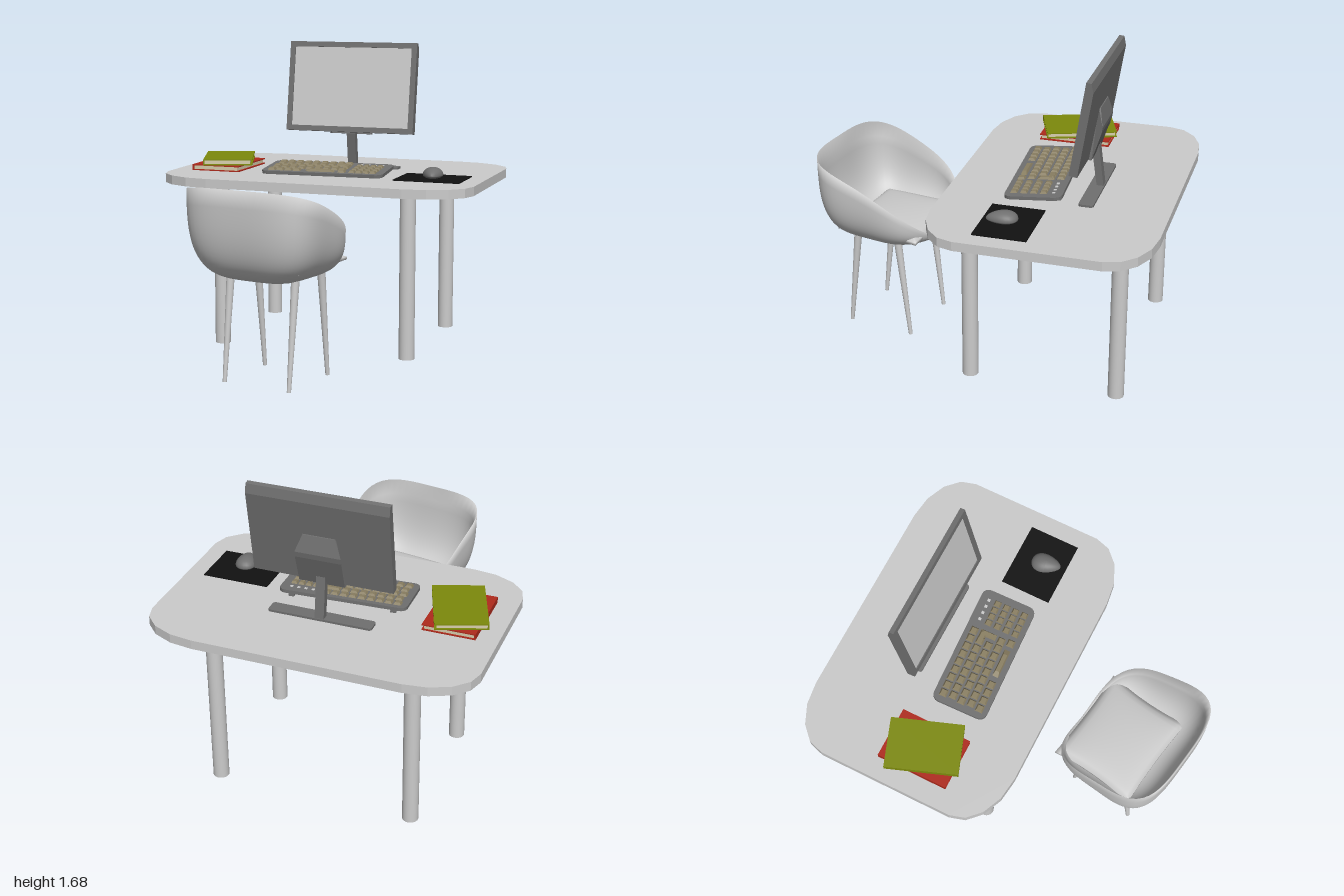
import * as THREE from 'three';
import { mergeVertices } from 'three/addons/utils/BufferGeometryUtils.js';
import { ParametricGeometry } from 'three/addons/geometries/ParametricGeometry.js';

const mat = (color = 0xcccccc, extra = {}) => new THREE.MeshStandardMaterial({ color, ...extra });
const grey = mat(), shellMat = mat(0xcccccc, { side: THREE.DoubleSide });
const dark = mat(0x707070), keyMat = mat(0x8a7f62, { flatShading: true });
const black = mat(0x111111), paper = mat(0xd8cfae);

function add(parent, name, geometry, material, x = 0, y = 0, z = 0) {
  const mesh = new THREE.Mesh(geometry, material);
  mesh.name = name;
  mesh.position.set(x, y, z);
  parent.add(mesh);
  return mesh;
}

function group(parent, name, x = 0, y = 0, z = 0) {
  const g = new THREE.Group();
  g.name = name;
  g.position.set(x, y, z);
  parent.add(g);
  return g;
}

const box = (w, h, d) => new THREE.BoxGeometry(w, h, d);

// Flat slab with elliptical corners, lying in xz with its underside at y = 0
function slab(w, d, h, rx, rz, seg) {
  const pts = [];
  for (let q = 0; q < 4; q++) {
    const sx = q === 0 || q === 3 ? 1 : -1, sz = q < 2 ? 1 : -1;
    for (let i = 0; i <= seg; i++) {
      const a = (q + i / seg) * Math.PI / 2;
      pts.push(new THREE.Vector2(sx * (w / 2 - rx) + rx * Math.cos(a), sz * (d / 2 - rz) + rz * Math.sin(a)));
    }
  }
  const g = new THREE.ExtrudeGeometry(new THREE.Shape(pts), { depth: h, bevelEnabled: false });
  return g.rotateX(-Math.PI / 2);
}

// Side profile of [z, y] points extruded across x, centred
function acrossX(points, width) {
  const shape = new THREE.Shape(points.map(([z, y]) => new THREE.Vector2(-z, y)));
  const g = new THREE.ExtrudeGeometry(shape, { depth: width, bevelEnabled: false });
  return g.translate(0, 0, -width / 2).rotateY(Math.PI / 2);
}

// Cylinder running between two points
function rod(parent, name, a, b, rA, rB, sides) {
  const dir = b.clone().sub(a);
  const m = add(parent, name, new THREE.CylinderGeometry(rB, rA, dir.length(), sides), grey);
  m.position.copy(a).addScaledVector(dir, 0.5);
  m.quaternion.setFromUnitVectors(new THREE.Vector3(0, 1, 0), dir.normalize());
}

function buildTable(root) {
  const table = group(root, 'table');
  add(table, 'tableTop', slab(1.78, 1.2, 0.05, 0.33, 0.22, 4), grey, 0, 0.91, -0.4);
  for (const x of [-0.55, 0.535]) for (const z of [0, -0.8])
    add(table, 'tableLeg', new THREE.CylinderGeometry(0.043, 0.043, 0.91, 24), grey, x, 0.455, z);
}

function buildMonitor(root) {
  const monitor = group(root, 'monitor', 0.03, 0, 0);
  const panel = group(monitor, 'panel', 0, 1.425, -0.53);
  panel.rotation.x = -0.155;
  // Bezel with a window, recessed screen and chamfered back
  const rect = (T, w, h) => new T([[-w, -h], [w, -h], [w, h], [-w, h]].map(p => new THREE.Vector2(...p)));
  const frame = rect(THREE.Shape, 0.382, 0.258);
  frame.holes.push(rect(THREE.Path, 0.351, 0.228));
  add(panel, 'bezel', new THREE.ExtrudeGeometry(frame, { depth: 0.012, bevelEnabled: false }), dark, 0, 0, -0.012);
  add(panel, 'screen', box(0.702, 0.456, 0.006), grey, 0, 0, -0.009);
  add(panel, 'backCover', acrossX([[-0.012, -0.258], [-0.012, 0.258], [-0.027, 0.258], [-0.045, 0.21], [-0.045, -0.258]], 0.764), dark);
  const mount = acrossX([[-0.04, -0.265], [-0.04, 0.02], [-0.05, 0.02], [-0.085, -0.07], [-0.085, -0.1], [-0.06, -0.265]], 0.25);
  const p = mount.attributes.position;
  for (let i = 0; i < p.count; i++) if (p.getY(i) > 0) p.setX(i, p.getX(i) * 0.7);
  mount.computeVertexNormals();
  add(panel, 'mount', mount, dark);
  // Leaning neck and long narrow foot
  add(monitor, 'neck', acrossX([[-0.525, 1.2], [-0.565, 1.2], [-0.597, 0.96], [-0.56, 0.96]].reverse(), 0.05), dark);
  add(monitor, 'foot', slab(0.57, 0.08, 0.012, 0.015, 0.015, 3), dark, 0, 0.96, -0.56);
}

function buildKeyboard(root) {
  const kb = group(root, 'keyboard', -0.012, 0.973, -0.262);
  kb.rotation.set(0.07, 0.05, 0, 'YXZ');
  add(kb, 'keyboardBody', slab(0.7, 0.31, 0.018, 0.04, 0.04, 4), dark);
  for (const x of [-0.28, 0.28]) add(kb, 'keyboardFoot', box(0.03, 0.024, 0.015), dark, x, -0.009, -0.135);
  const cap = new THREE.CylinderGeometry(0.019, 0.03, 0.012, 4).rotateY(Math.PI / 4);
  const key = (x, z, sx = 1, sz = 1) => add(kb, 'key', cap, keyMat, x, 0.024, z).scale.set(sx, 1, sz);
  const row = r => -0.105 + r * 0.053;
  // Main block, with a long bar in the last row
  for (let r = 0; r < 5; r++) for (let c = 0; c < 8; c++)
    if (r < 4 || c < 4) key(-0.295 + c * 0.049 + (r % 2) * 0.008, row(r));
  key(-0.015, row(4), 3.9, 0.8);
  // Corner key
  key(0.095, row(0));
  key(0.105, row(1.5), 0.8, 2.2);
  key(0.085, row(1), 1.5, 0.9);
  key(0.1, row(3));
  key(0.11, row(4));
  // Number pad and indicator lights
  for (let c = 0; c < 4; c++) {
    for (let r = 1; r < 5; r++) key(0.17 + c * 0.04, row(r), 0.8, 0.9);
    add(kb, 'indicator', box(0.016, 0.004, 0.016), grey, 0.17 + c * 0.04, 0.019, row(0));
  }
}

function buildMouse(root) {
  add(root, 'mousePad', box(0.37, 0.006, 0.285), black, 0.605, 0.963, -0.2325);
  // Egg shape, flat below and narrower at one end
  const g = new THREE.SphereGeometry(1, 24, 16), p = g.attributes.position;
  for (let i = 0; i < p.count; i++) {
    const x = p.getX(i), y = p.getY(i), z = p.getZ(i);
    p.setXYZ(i, x * 0.054 * (1 - 0.3 * z), y * (y > 0 ? 0.042 : 0.02) * (1 - 0.15 * z), z * 0.083);
  }
  g.computeVertexNormals();
  add(root, 'mouse', g, dark, 0.615, 0.986, -0.2).rotation.y = 0.2;
}

function buildBook(root, name, color, x, y, z, w, d, turn) {
  const book = group(root, name, x, y, z), cover = mat(color);
  book.rotation.y = turn;
  for (const s of [0.003, 0.03]) add(book, 'cover', box(w, 0.006, d), cover, 0, s, 0);
  add(book, 'spine', box(0.008, 0.033, d), cover, -w / 2 + 0.004, 0.0165, 0);
  add(book, 'pages', box(w - 0.018, 0.021, d - 0.016), paper, -0.003, 0.0165, 0);
}

function buildChair(root) {
  const chair = group(root, 'chair');
  const turn = -0.17;
  // Bucket shell: outer wall up to a rim that sinks toward the seat front, then back down inside
  const shell = group(chair, 'seat', -0.01, 0, 0.64);
  shell.rotation.y = turn;
  const HX = 0.365, HZ = 0.325;
  const surface = (u, v, target) => {
    const a = u * Math.PI * 2 - Math.PI / 2, c = Math.cos(a), s = Math.sin(a);
    const rho = Math.pow(Math.abs(c) ** 3.6 + Math.abs(s) ** 3.6, -1 / 3.6);
    const outer = v <= 0.5, phi = (outer ? v : 1 - v) * Math.PI;
    const base = outer ? 0.535 : 0.562;
    const rim = 0.565 + 0.465 * Math.pow(Math.max(0, (s * rho + 1) / 2), 0.42);
    const r = Math.sqrt(Math.max(Math.sin(phi), 0)) * (outer ? 1 : 0.955);
    const f = 1 - Math.pow(Math.max(Math.cos(phi), 0), 2 / 3);
    const z = s * rho * r;
    target.set(c * rho * r * HX * (1 + 0.05 * z), base + (rim - base) * f, z * HZ);
  };
  const shellGeo = new ParametricGeometry(surface, 72, 40);
  shellGeo.computeVertexNormals();
  add(shell, 'seatShell', shellGeo, shellMat);

  // Pillow with drawn-in sides
  let pillow = new THREE.BoxGeometry(2, 2, 2, 20, 1, 20);
  pillow.deleteAttribute('normal');
  pillow.deleteAttribute('uv');
  pillow = mergeVertices(pillow);
  const p = pillow.attributes.position;
  for (let i = 0; i < p.count; i++) {
    const x = p.getX(i), y = p.getY(i), z = p.getZ(i);
    const puff = Math.pow((1 - x * x) * (1 - z * z), 0.4);
    p.setXYZ(i, x * 0.28 * (1 - 0.07 * (1 - z * z)), y * (0.008 + 0.045 * puff), z * 0.245 * (1 - 0.04 * (1 - x * x)));
  }
  pillow.computeVertexNormals();
  add(shell, 'cushion', pillow, grey, 0, 0.612, -0.07);

  // Tapered legs splayed fore and aft
  const legs = group(chair, 'chairLegs', 0.015, 0, 0.604);
  legs.rotation.y = -0.18;
  for (const sx of [-1, 1]) for (const sz of [-1, 1])
    rod(legs, 'chairLeg', new THREE.Vector3(sx * 0.193, 0, sz * 0.193),
      new THREE.Vector3(sx * 0.193, 0.565, sz * 0.128), 0.011, 0.022, 16);
}

export function createModel() {
  const root = new THREE.Group();
  root.name = 'deskSet';
  buildTable(root);
  buildMonitor(root);
  buildKeyboard(root);
  buildMouse(root);
  buildBook(root, 'redBook', 0xb02a1c, -0.633, 0.962, -0.3, 0.285, 0.4, 0);
  buildBook(root, 'greenBook', 0x7d8a0c, -0.63, 0.996, -0.297, 0.277, 0.395, 0.35);
  buildChair(root);
  return root;
}
